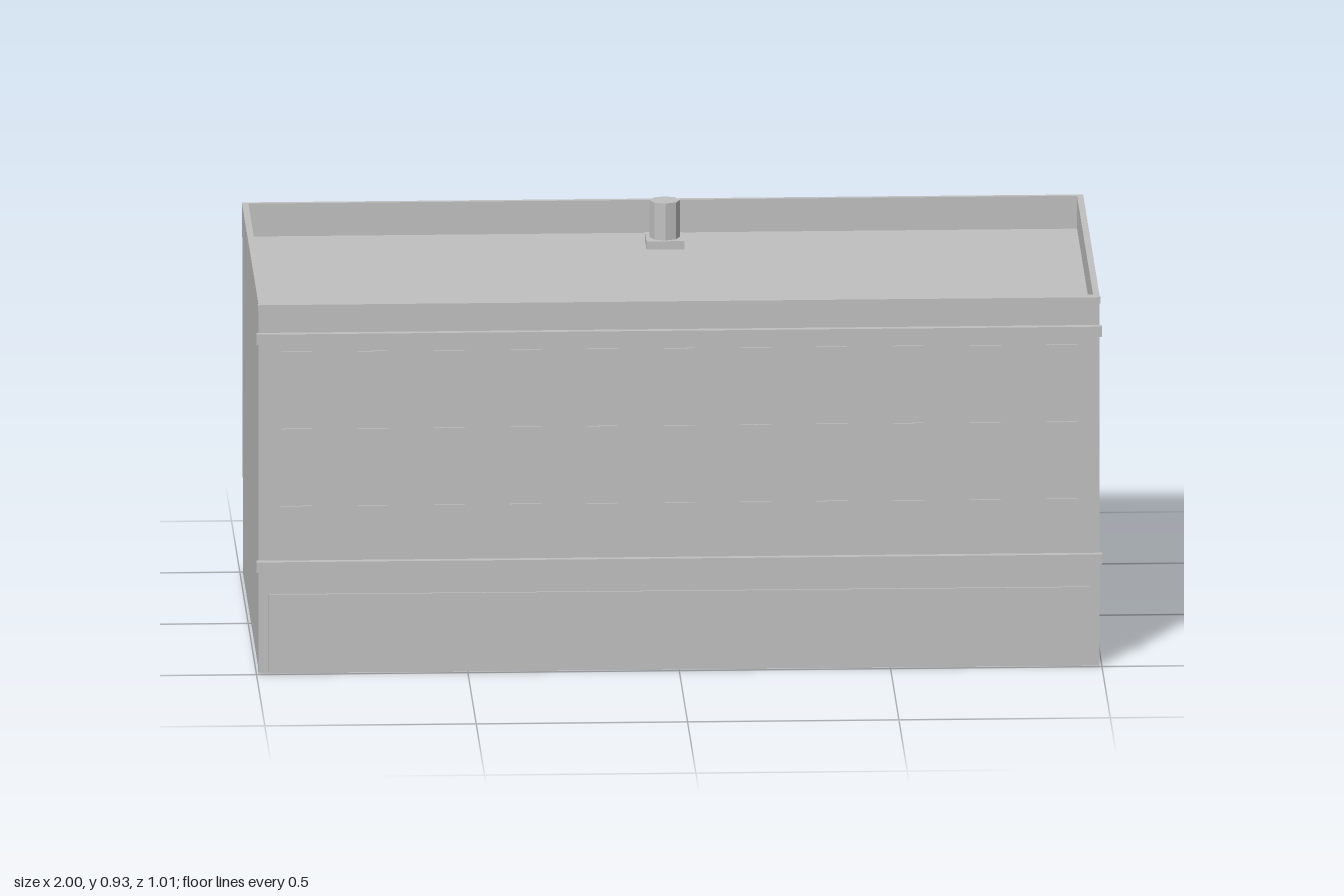
import * as THREE from 'three';

export function createModel() {
  const model = new THREE.Group();
  const concrete = new THREE.MeshStandardMaterial({ color: 0xc0c0c0 });
  concrete.name = 'light grey concrete';

  // Box given by its lower and upper limits on each axis
  function block(name, [x0, x1], [y0, y1], [z0, z1], parent = model) {
    const mesh = new THREE.Mesh(new THREE.BoxGeometry(x1 - x0, y1 - y0, z1 - z0), concrete);
    mesh.position.set((x0 + x1) / 2, (y0 + y1) / 2, (z0 + z1) / 2);
    mesh.name = name;
    parent.add(mesh);
    return mesh;
  }

  // Main volume up to the roof deck, and the front wall slab
  block('body', [-0.993, 0.993], [0, 0.82], [-0.501, 0.474]);
  block('frontWall', [-0.995, 0.995], [0, 0.82], [0.474, 0.49]);
  block('backPanel', [-0.993, 0.993], [0.23, 0.82], [-0.504, -0.501]);

  // Parapet ring around the sunken roof
  const ring = new THREE.Shape();
  ring.moveTo(-0.995, -0.49).lineTo(0.995, -0.49).lineTo(0.995, 0.503).lineTo(-0.995, 0.503).closePath();
  const hole = new THREE.Path();
  hole.moveTo(-0.98, -0.474).lineTo(-0.98, 0.49).lineTo(0.98, 0.49).lineTo(0.98, -0.474).closePath();
  ring.holes.push(hole);
  const ringGeometry = new THREE.ExtrudeGeometry(ring, { depth: 0.08, bevelEnabled: false });
  ringGeometry.rotateX(-Math.PI / 2);
  const parapet = new THREE.Mesh(ringGeometry, concrete);
  parapet.position.y = 0.82;
  parapet.name = 'parapet';
  model.add(parapet);

  // Front mouldings and base panel
  block('frontCoping', [-0.997, 0.997], [0.885, 0.9], [0.489, 0.5]);
  block('upperCornice', [-1, 1], [0.805, 0.83], [0.489, 0.507]);
  block('lowerCornice', [-1, 1], [0.25, 0.275], [0.489, 0.507]);
  block('basePanel', [-0.972, 0.972], [0.005, 0.193], [0.489, 0.495]);

  // Front windows: three rows of eleven
  const frontWindows = new THREE.Group();
  frontWindows.name = 'frontWindows';
  model.add(frontWindows);
  for (const y of [0.31, 0.498, 0.686])
    for (let i = -5; i <= 5; i++)
      block('frontWindow', [i * 0.181 - 0.037, i * 0.181 + 0.037], [y, y + 0.098], [0.489, 0.495], frontWindows);

  // Back windows: three rows of five mirrored pairs
  const backWindows = new THREE.Group();
  backWindows.name = 'backWindows';
  model.add(backWindows);
  for (const y of [0.315, 0.502, 0.69])
    for (const x of [0.128, 0.328, 0.54, 0.718, 0.906])
      for (const side of [-1, 1])
        block('backWindow', [side * x - 0.033, side * x + 0.033], [y, y + 0.083], [-0.507, -0.503], backWindows);

  // Roof vent on a square foot
  block('ventFoot', [-0.045, 0.045], [0.815, 0.84], [-0.415, -0.325]);
  const pipe = new THREE.CylinderGeometry(0.036, 0.036, 0.095, 8).toNonIndexed();
  pipe.computeVertexNormals();
  const vent = new THREE.Mesh(pipe, concrete);
  vent.position.set(0, 0.8825, -0.368);
  vent.name = 'ventPipe';
  model.add(vent);

  return model;
}
